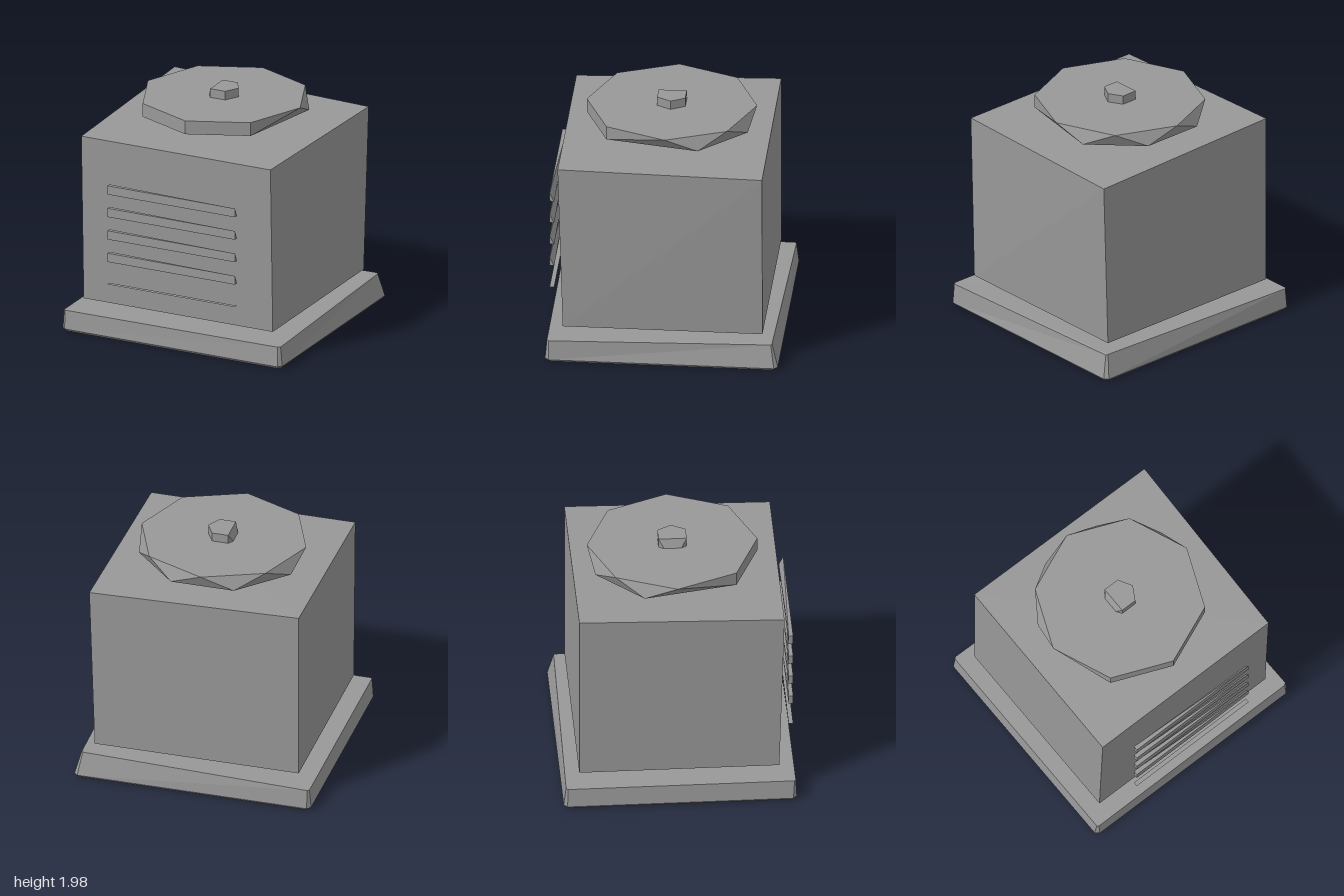
import * as THREE from 'three';
import { ConvexGeometry } from 'three/addons/geometries/ConvexGeometry.js';

const grey = new THREE.MeshStandardMaterial({ color: 0x989898, side: THREE.DoubleSide });
grey.name = 'grey metal';

function addMesh(group, name, geometry) {
  const mesh = new THREE.Mesh(geometry, grey);
  mesh.name = name;
  group.add(mesh);
  return mesh;
}

// Faceted solid spanning a few corner points
const solid = (points) => new ConvexGeometry(points.map((p) => new THREE.Vector3(...p)));

// Points of a flat ring given as [x, z] pairs, at height y
const ring = (y, pairs) => pairs.map(([x, z]) => [x, y, z]);

// Rectangle outline with clipped corners, counter-clockwise seen from above
function clippedRect(y, hx, hz, c) {
  return ring(y, [
    [hx - c, hz], [hx, hz - c], [hx, -hz + c], [hx - c, -hz],
    [-hx + c, -hz], [-hx, -hz + c], [-hx, hz - c], [-hx + c, hz],
  ]);
}

// Flat-shaded skin through stacked rings, closed at the top and open below
function skin(rings) {
  const pos = [];
  const n = rings[0].length;
  for (let r = 0; r < rings.length - 1; r++) {
    for (let i = 0; i < n; i++) {
      const j = (i + 1) % n;
      const [a, b, c, d] = [rings[r][i], rings[r][j], rings[r + 1][j], rings[r + 1][i]];
      pos.push(...a, ...b, ...c, ...a, ...c, ...d);
    }
  }
  const top = rings[rings.length - 1];
  for (let i = 1; i < n - 1; i++) pos.push(...top[0], ...top[i], ...top[i + 1]);
  const g = new THREE.BufferGeometry();
  g.setAttribute('position', new THREE.Float32BufferAttribute(pos, 3));
  g.computeVertexNormals();
  return g;
}

export function createModel() {
  const model = new THREE.Group();
  model.name = 'ventilationUnit';

  // Hollow base tray with clipped corners and one raised back corner
  addMesh(model, 'base', skin([
    clippedRect(0, 0.985, 0.935, 0.03),
    clippedRect(0.02, 1, 0.95, 0.03),
    [
      [0.965, 0.185, 0.935], [0.985, 0.185, 0.92],
      [0.95, 0.21, -0.89], [0.935, 0.215, -0.9],
      [-0.97, 0.18, -0.93], [-0.985, 0.18, -0.915],
      [-0.985, 0.18, 0.93], [-0.97, 0.18, 0.942],
    ],
  ]));

  // Housing, slightly skewed toward the top
  addMesh(model, 'housing', solid([
    ...ring(0.26, [[-0.865, -0.815], [0.86, -0.815], [0.86, 0.815], [-0.865, 0.815]]),
    [-0.865, 1.725, -0.815], [0.905, 1.68, -0.815],
    [0.86, 1.68, 0.857], [-0.865, 1.68, 0.857],
  ]));

  // Front louvres, each with one back corner cut away
  const slats = new THREE.Group();
  slats.name = 'louvres';
  const x = 0.582, z0 = 0.91, z1 = 0.947, h = 0.075;
  const slatShape = solid([
    ...ring(0, [[-x, z0], [x, z0], [x, z1], [-x, z1]]),
    ...ring(h, [[-x, z0], [x, z1], [-x, z1]]),
  ]);
  for (let i = 0; i < 4; i++) {
    addMesh(slats, 'louvre', slatShape).position.y = 0.667 + i * 0.195;
  }
  // Lowest louvre is only a thin sheet
  const sheet = addMesh(slats, 'louvreSheet', new THREE.PlaneGeometry(2 * x, z1 - z0));
  sheet.rotation.x = -Math.PI / 2;
  sheet.position.set(0, 0.472, (z0 + z1) / 2);
  model.add(slats);

  // Fan cover: octagonal top over a seven-cornered underside
  const R = 0.695;
  const at = (deg) => [R * Math.cos(deg * Math.PI / 180), R * Math.sin(deg * Math.PI / 180)];
  addMesh(model, 'fanCover', solid([
    ...ring(1.905, [0, 45, 90, 135, 180, 225, 270, 315].map(at)),
    ...ring(1.79, [45, 90, 135, 202.5, 247.5, 292.5, 337.5].map(at)),
  ]));

  // Hub cap with a sloped left side
  const hub = [[0.133, 0], [0.068, 0.115], [-0.068, 0.115], [-0.068, -0.115], [0.068, -0.115]];
  addMesh(model, 'hub', solid([
    ...ring(1.98, hub),
    ...ring(1.905, [...hub, [-0.098, 0.07], [-0.098, -0.07]]),
  ]));

  return model;
}
